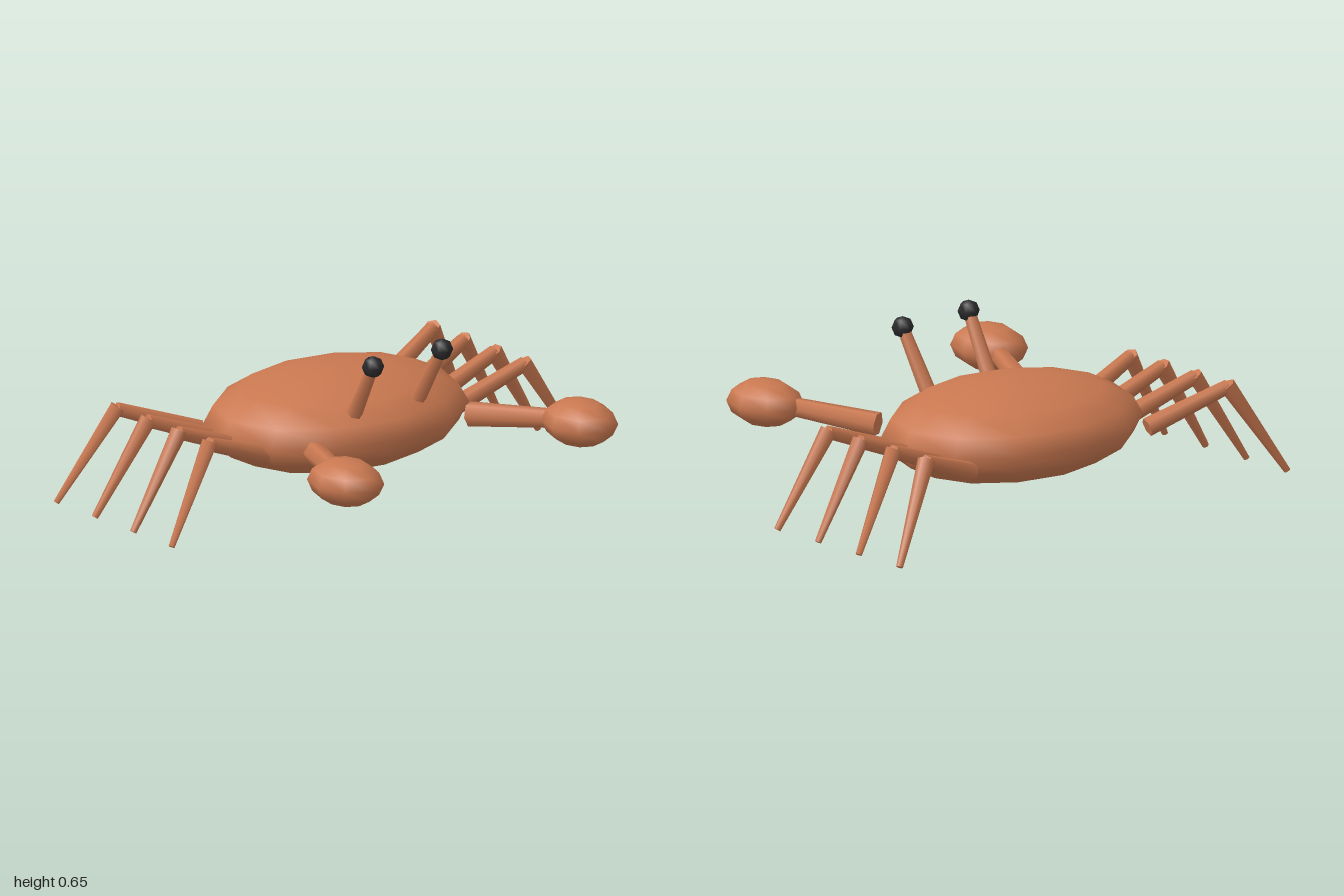
import * as THREE from 'three';

export function createModel() {
  const model = new THREE.Group();
  model.name = 'crab';

  const shellMat = new THREE.MeshStandardMaterial({ color: 0xc97850 });
  shellMat.name = 'shell orange';
  const eyeMat = new THREE.MeshStandardMaterial({ color: 0x2a2a2c });
  eyeMat.name = 'eye black';

  // Faceted ellipsoid with the given radii
  function ellipsoid(name, center, radii, wide, high, material, parent) {
    const mesh = new THREE.Mesh(new THREE.SphereGeometry(1, wide, high), material);
    mesh.name = name;
    mesh.position.set(...center);
    mesh.scale.set(...radii);
    parent.add(mesh);
    return mesh;
  }

  // Six-sided tapered limb between two points
  function limb(name, from, to, rFrom, rTo, parent) {
    const a = new THREE.Vector3(...from);
    const b = new THREE.Vector3(...to);
    const dir = b.clone().sub(a);
    const mesh = new THREE.Mesh(new THREE.CylinderGeometry(rTo, rFrom, dir.length(), 6), shellMat);
    mesh.name = name;
    mesh.position.copy(a).add(b).multiplyScalar(0.5);
    mesh.quaternion.setFromUnitVectors(new THREE.Vector3(0, 1, 0), dir.normalize());
    parent.add(mesh);
  }

  ellipsoid('body', [0, 0.278, -0.23], [0.555, 0.187, 0.415], 12, 8, shellMat, model);

  // z of hip, knee and foot, from the front leg to the back leg
  const legs = [
    [-0.085, -0.045, 0],
    [-0.215, -0.225, -0.23],
    [-0.35, -0.41, -0.46],
    [-0.495, -0.595, -0.69],
  ];

  for (const [s, side] of [[1, 'left'], [-1, 'right']]) {
    // Walking legs
    legs.forEach(([hip, knee, foot], i) => {
      const leg = new THREE.Group();
      leg.name = `${side}Leg${i + 1}`;
      limb('upperLeg', [s * 0.45, 0.24, hip], [s * 0.77, 0.36, knee], 0.037, 0.028, leg);
      limb('lowerLeg', [s * 0.765, 0.368, knee], [s * 0.987, 0.008, foot], 0.033, 0.013, leg);
      model.add(leg);
    });

    // Claw and its arm
    const claw = new THREE.Group();
    claw.name = `${side}Claw`;
    limb('clawArm', [s * 0.375, 0.282, 0.11], [s * 0.53, 0.315, 0.435], 0.048, 0.037, claw);
    ellipsoid('clawTip', [s * 0.57, 0.317, 0.53], [0.134, 0.089, 0.163], 8, 6, shellMat, claw);
    model.add(claw);

    // Eye on its stalk
    const eye = new THREE.Group();
    eye.name = `${side}Eye`;
    limb('eyeStalk', [s * 0.156, 0.385, 0.075], [s * 0.168, 0.6, 0.197], 0.031, 0.024, eye);
    const ball = ellipsoid('eyeball', [s * 0.168, 0.605, 0.2], [0.043, 0.043, 0.043], 6, 4, eyeMat, eye);
    ball.rotation.y = Math.PI / 2;
    model.add(eye);
  }

  return model;
}
